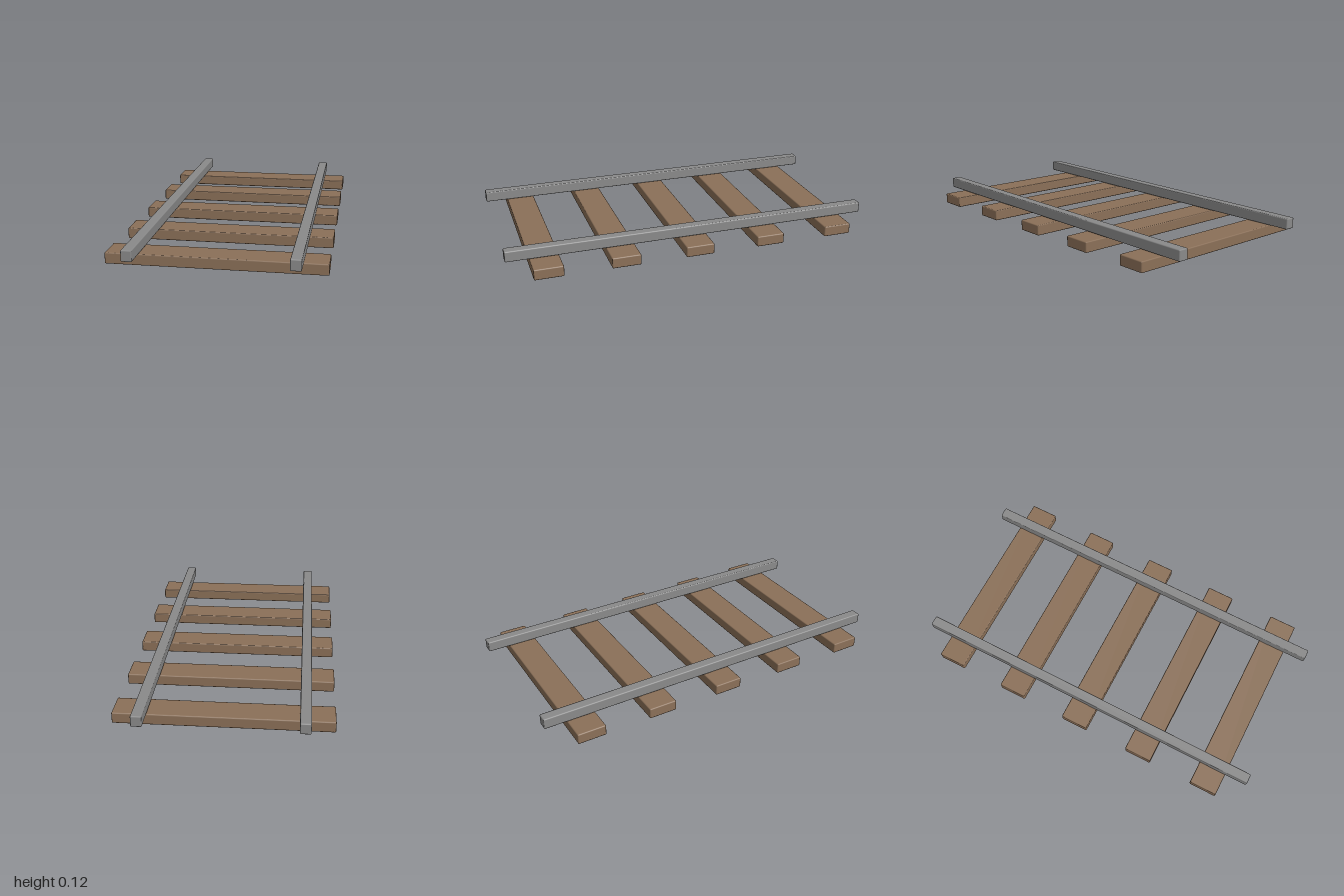
import * as THREE from 'three';
import { RoundedBoxGeometry } from 'three/addons/geometries/RoundedBoxGeometry.js';

export function createModel() {
  const group = new THREE.Group();
  group.name = 'railwayTrack';

  const wood = new THREE.MeshStandardMaterial({ color: 0x8b7058 });
  wood.name = 'wood';
  const steel = new THREE.MeshStandardMaterial({ color: 0x8a8a8a });
  steel.name = 'steel';

  // Bar with narrow bevelled edges
  const bar = (name, size, position, material) => {
    const mesh = new THREE.Mesh(new RoundedBoxGeometry(...size, 1, 0.006), material);
    mesh.name = name;
    mesh.position.set(...position);
    group.add(mesh);
  };

  // Five sleepers, evenly spaced along the track
  for (let i = 0; i < 5; i++) {
    bar(`sleeper${i + 1}`, [1.096, 0.058, 0.154], [0, 0.029, (i - 2) * 0.4], wood);
  }

  // Two rails resting on the sleepers
  for (const side of [-1, 1]) {
    bar(side > 0 ? 'leftRail' : 'rightRail', [0.055, 0.058, 2], [side * 0.4, 0.089, 0], steel);
  }

  return group;
}
